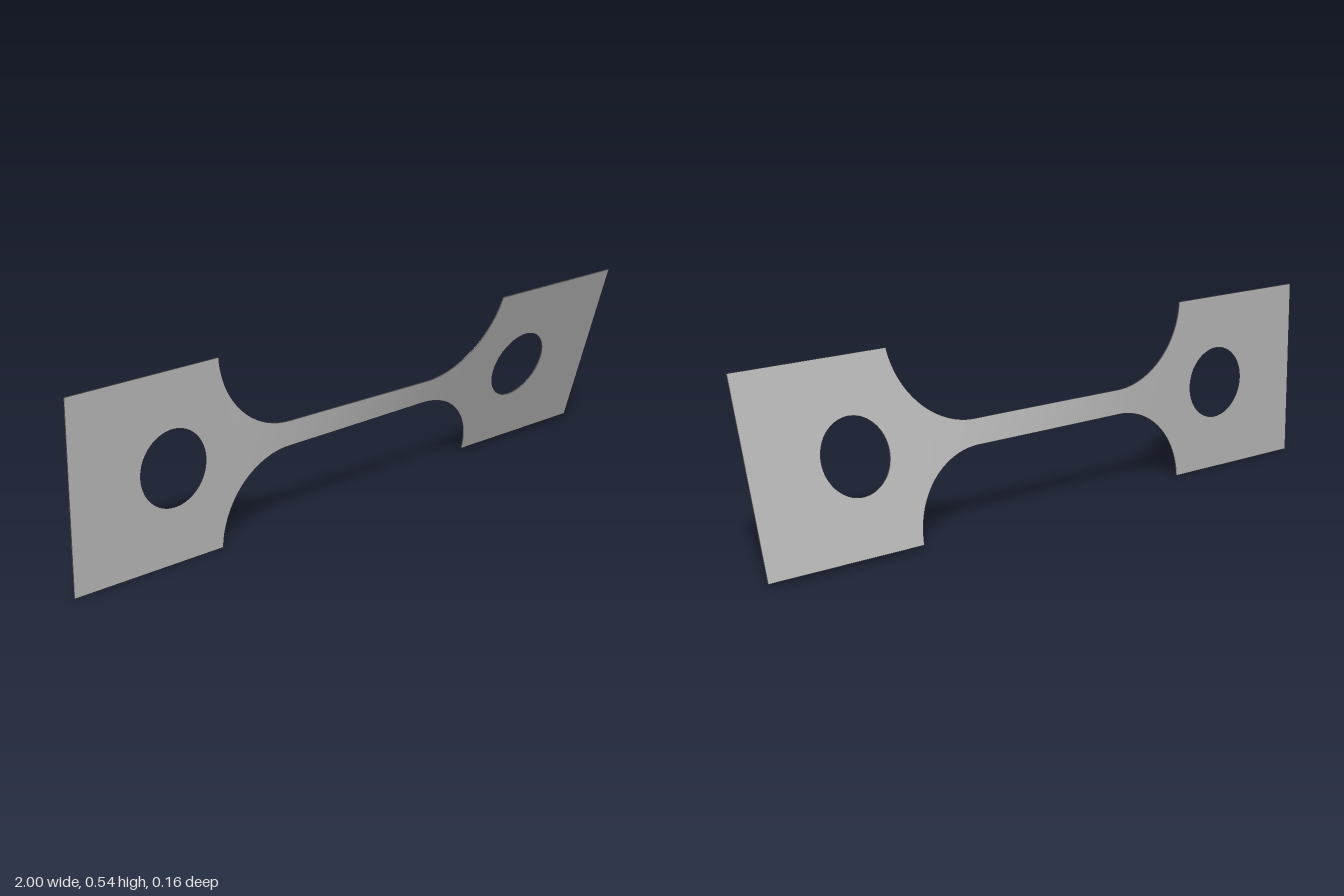
import * as THREE from 'three';

const MID_Y = 0.272;      // height of the twist axis
const THICK = 0.003;
const SHOULDER = 0.51;    // where the grips meet the fillets
const GRIP_HALF = 0.27;
const NECK_HALF = 0.037;
const FILLET = 0.245;
const TWIST = THREE.MathUtils.degToRad(17.2);

// Half height of the waisted part: straight neck, then circular fillets
function halfHeight(x) {
  const d = Math.max(0, Math.abs(x) - (SHOULDER - FILLET + 0.0003));
  return Math.min(GRIP_HALF, NECK_HALF + FILLET - Math.sqrt(Math.max(0, FILLET * FILLET - d * d)));
}

// Turn every vertex about the long axis, from flat at -x to fully twisted at +x
function twist(geometry) {
  const p = geometry.attributes.position;
  for (let i = 0; i < p.count; i++) {
    const x = p.getX(i), y = p.getY(i), z = p.getZ(i);
    const a = TWIST * THREE.MathUtils.smoothstep(x, -0.5, 0.48);
    p.setXYZ(i, x, y * Math.cos(a) - z * Math.sin(a) + MID_Y, y * Math.sin(a) + z * Math.cos(a));
  }
  geometry.computeVertexNormals();
  return geometry;
}

// Rectangular end plate with a round hole
function gripGeometry(side) {
  const inner = side * SHOULDER, outer = side;
  const shape = new THREE.Shape([
    new THREE.Vector2(inner, -GRIP_HALF), new THREE.Vector2(outer, -GRIP_HALF),
    new THREE.Vector2(outer, GRIP_HALF), new THREE.Vector2(inner, GRIP_HALF),
  ]);
  const hole = new THREE.Path();
  hole.absarc(side * 0.67, 0, 0.108, 0, Math.PI * 2, true);
  shape.holes.push(hole);
  const g = new THREE.ExtrudeGeometry(shape, { depth: THICK, bevelEnabled: false, curveSegments: 48 });
  g.translate(0, 0, -THICK / 2);
  return twist(g);
}

// Neck and fillets: a fine strip, with columns packed towards the steep fillet ends
function neckGeometry() {
  const g = new THREE.BoxGeometry(2, 2, THICK, 120, 8, 1);
  const p = g.attributes.position;
  for (let i = 0; i < p.count; i++) {
    const x = SHOULDER * Math.sin(p.getX(i) * Math.PI / 2);
    p.setXY(i, x, p.getY(i) * halfHeight(x));
  }
  return twist(g);
}

export function createModel() {
  const group = new THREE.Group();
  group.name = 'twistedTestStrip';
  const steel = new THREE.MeshStandardMaterial({ color: 0xb8b8b8 });
  steel.name = 'steel grey';

  const add = (name, geometry) => {
    const mesh = new THREE.Mesh(geometry, steel);
    mesh.name = name;
    group.add(mesh);
  };
  add('neck', neckGeometry());
  add('leftGrip', gripGeometry(1));
  add('rightGrip', gripGeometry(-1));
  return group;
}
